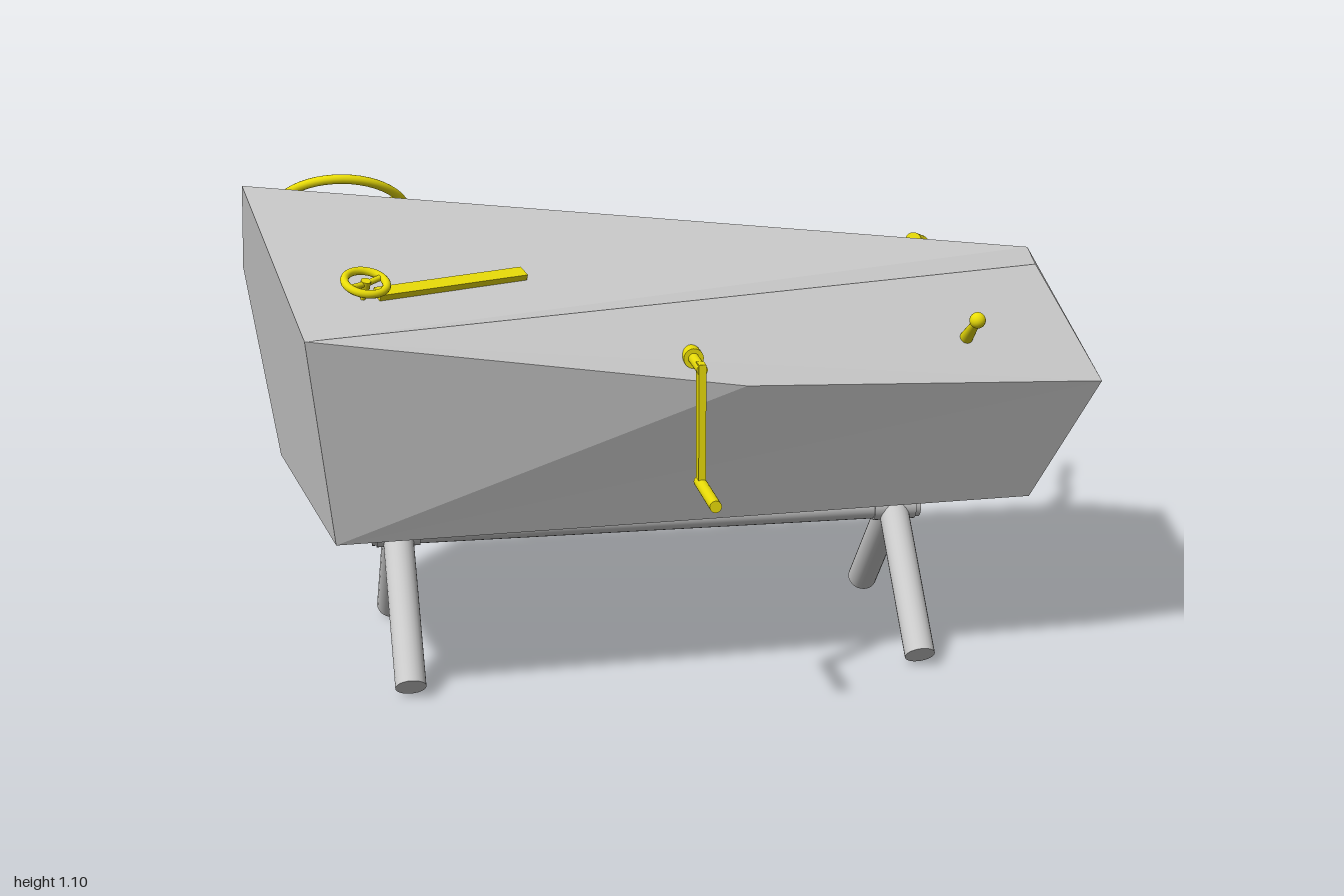
import * as THREE from 'three';

const V = (x, y, z) => new THREE.Vector3(x, y, z);
const UP = V(0, 1, 0);

export function createModel() {
  const model = new THREE.Group();
  const grey = new THREE.MeshStandardMaterial({ color: 0xcccccc });
  const flatGrey = new THREE.MeshStandardMaterial({ color: 0xcccccc, flatShading: true });
  const yellow = new THREE.MeshStandardMaterial({ color: 0xeadd08 });

  const group = (name, parent = model) => {
    const g = new THREE.Group();
    g.name = name;
    parent.add(g);
    return g;
  };
  const add = (parent, name, geometry, material, pos = V(0, 0, 0)) => {
    const m = new THREE.Mesh(geometry, material);
    m.name = name;
    m.position.copy(pos);
    parent.add(m);
    return m;
  };
  // round bar from a to b
  const bar = (parent, name, a, b, r, material, rEnd = r) => {
    const d = b.clone().sub(a);
    const m = add(parent, name, new THREE.CylinderGeometry(rEnd, r, d.length(), 24), material,
      a.clone().add(b).multiplyScalar(0.5));
    m.quaternion.setFromUnitVectors(UP, d.normalize());
    return m;
  };
  // flat strip from a to b, lying on a face with the given normal
  const strip = (parent, name, a, b, normal, width, thick, material) => {
    const d = b.clone().sub(a);
    const m = add(parent, name, new THREE.BoxGeometry(d.length(), thick, width), material,
      a.clone().add(b).multiplyScalar(0.5));
    const x = d.normalize();
    const z = x.clone().cross(normal).normalize();
    m.quaternion.setFromRotationMatrix(new THREE.Matrix4().makeBasis(x, z.clone().cross(x), z));
    return m;
  };

  // faceted body: named corners and flat faces
  const P = {
    A: V(-1, 1.1, -0.05), B: V(-0.895, 0.875, 0.518), C: V(-0.84, 0.4, 0.445),
    D: V(-0.93, 0.4, -0.27), E: V(-1, 0.85, -0.325), F: V(0.74, 0.4, 0.36),
    G: V(0.87, 0.692, 0.457), H: V(0.895, 0.852, -0.215), I: V(0.76, 0.925, 0.285),
    J: V(0.05, 0.735, 0.518), M: V(0.81, 0.67, -0.42), N: V(0.74, 0.4, -0.27),
  };
  const faces = ['ABH', 'BHI', 'BIGJ', 'BJC', 'CFGJ', 'ABCDE', 'HIG', 'HGFNM', 'AEMH', 'EMD', 'MND', 'CDNF'];
  const middle = V(-0.05, 0.65, 0.05);
  const coords = [];
  for (const face of faces) {
    for (let i = 1; i < face.length - 1; i++) {
      const [a, b, c] = [P[face[0]], P[face[i]], P[face[i + 1]]];
      const n = b.clone().sub(a).cross(c.clone().sub(a));
      const order = n.dot(a.clone().sub(middle)) > 0 ? [a, b, c] : [a, c, b];
      order.forEach(p => coords.push(p.x, p.y, p.z));
    }
  }
  const bodyGeometry = new THREE.BufferGeometry();
  bodyGeometry.setAttribute('position', new THREE.Float32BufferAttribute(coords, 3));
  bodyGeometry.computeVertexNormals();
  add(model, 'body', bodyGeometry, flatGrey);

  // outward normals and heights of the two sloping top faces
  const frontN = P.B.clone().sub(P.A).cross(P.H.clone().sub(P.A)).normalize();
  const backN = P.H.clone().sub(P.A).cross(P.E.clone().sub(P.A)).normalize();
  const onFace = (n, x, z, lift = 0) =>
    V(x, P.A.y - (n.x * (x - P.A.x) + n.z * (z - P.A.z)) / n.y, z).addScaledVector(n, lift);

  // stand: beam, splayed legs and bolted mounts
  const stand = group('stand');
  const beamY = 0.305, midZ = 0.067;
  bar(stand, 'beam', V(-0.74, beamY, midZ), V(0.557, beamY, midZ), 0.034, grey);
  for (const x of [-0.68, 0.495]) {
    for (const s of [-1, 1])
      bar(stand, 'leg', V(x, beamY, midZ), V(x, 0.025, midZ + s * 0.282), 0.035, grey);
    const mount = group('mount', stand);
    bar(mount, 'collar', V(x - 0.05, beamY, midZ), V(x + 0.05, beamY, midZ), 0.038, grey);
    add(mount, 'post', new THREE.BoxGeometry(0.066, 0.09, 0.046), grey, V(x, 0.355, midZ));
    for (const y of [0.369, 0.388])
      add(mount, 'plate', new THREE.BoxGeometry(0.095, 0.008, 0.165), grey, V(x, y, midZ));
    for (const sx of [-1, 1]) for (const sz of [-1, 1])
      bar(mount, 'bolt', V(x + sx * 0.034, 0.355, midZ + sz * 0.062), V(x + sx * 0.034, 0.41, midZ + sz * 0.062), 0.007, grey);
  }

  // hand cranks, front and back
  const crank = (name, base, armZ, endZ) => {
    const g = group(name), x = -0.065, s = Math.sign(armZ);
    bar(g, 'collar', V(x, 0.797, base - s * 0.03), V(x, 0.797, base + s * 0.012), 0.022, yellow);
    bar(g, 'shaft', V(x, 0.797, base), V(x, 0.797, armZ + s * 0.012), 0.012, yellow);
    add(g, 'arm', new THREE.BoxGeometry(0.016, 0.275, 0.032), yellow, V(x, 0.672, armZ));
    bar(g, 'handle', V(x, 0.543, armZ - s * 0.016), V(x, 0.543, endZ), 0.013, yellow);
  };
  crank('frontCrank', 0.49, 0.59, 0.76);
  crank('backCrank', -0.345, -0.463, -0.635);

  // rimmed wheel standing off a face, hub sunk below the rim
  const wheel = (name, center, normal, radius, tube, depth, drop, angles) => {
    const g = group(name);
    g.position.copy(center);
    g.quaternion.setFromUnitVectors(UP, normal);
    const rim = add(g, 'rim', new THREE.TorusGeometry(radius, tube, 12, 48), yellow);
    rim.rotation.x = Math.PI / 2;
    for (const a of angles)
      bar(g, 'spoke', V(0, -drop, 0), V(Math.sin(a) * radius, 0, -Math.cos(a) * radius), tube * 0.75, yellow);
    bar(g, 'column', V(0, -depth, 0), V(0, -drop, 0), radius * 0.12, yellow);
    bar(g, 'hub', V(0, -drop - tube, 0), V(0, -drop + tube, 0), radius * 0.24, yellow);
    return g;
  };
  const third = Math.PI * 2 / 3;
  const big = wheel('steeringWheel', V(-0.77, 0.982, -0.278), backN, 0.155, 0.011, 0.085, 0.025, [0, third, -third]);
  bar(big, 'base', V(0, -0.08, 0), V(0, -0.05, 0), 0.032, yellow);
  wheel('smallWheel', onFace(frontN, -0.76, 0.337, 0.042), frontN, 0.046, 0.009, 0.06, 0.004, [0.9, 0.9 + Math.PI]);

  // flat guide strips on the sloping faces
  strip(model, 'frontGuide', onFace(frontN, -0.73, 0.325, 0.008), onFace(frontN, -0.393, 0.177, 0.008),
    frontN, 0.034, 0.014, yellow);
  strip(model, 'backGuide', onFace(backN, 0.195, -0.3), onFace(backN, 0.715, -0.325),
    backN, 0.036, 0.008, yellow);

  // long bent lever
  const lever = group('lever');
  const joint = V(0.65, 0.842, -0.35);
  bar(lever, 'link', onFace(backN, 0.635, -0.322, -0.01), joint, 0.014, yellow);
  bar(lever, 'joint', V(0.638, 0.852, -0.333), V(0.672, 0.832, -0.385), 0.021, yellow);
  const leverPoints = [[-0.35, 0.842], [-0.44, 0.802], [-0.505, 0.762], [-0.56, 0.705], [-0.61, 0.668], [-0.72, 0.597], [-0.838, 0.524]]
    .map(([z, y]) => V(0.65 - (z + 0.345) * 0.67, y, z));
  add(lever, 'rod', new THREE.TubeGeometry(new THREE.CatmullRomCurve3(leverPoints), 48, 0.0125, 16), yellow);
  const tip = leverPoints.at(-1), dir = tip.clone().sub(leverPoints.at(-2)).normalize();
  bar(lever, 'grip', tip.clone().addScaledVector(dir, -0.02), tip.clone().addScaledVector(dir, 0.006), 0.013, yellow);

  // small ball-ended stick
  const stick = group('stick');
  const ball = V(0.567, 0.853, 0.495);
  bar(stick, 'rod', V(0.567, 0.793, 0.41), ball, 0.015, yellow, 0.008);
  add(stick, 'ball', new THREE.SphereGeometry(0.018, 20, 14), yellow, ball);

  return model;
}
